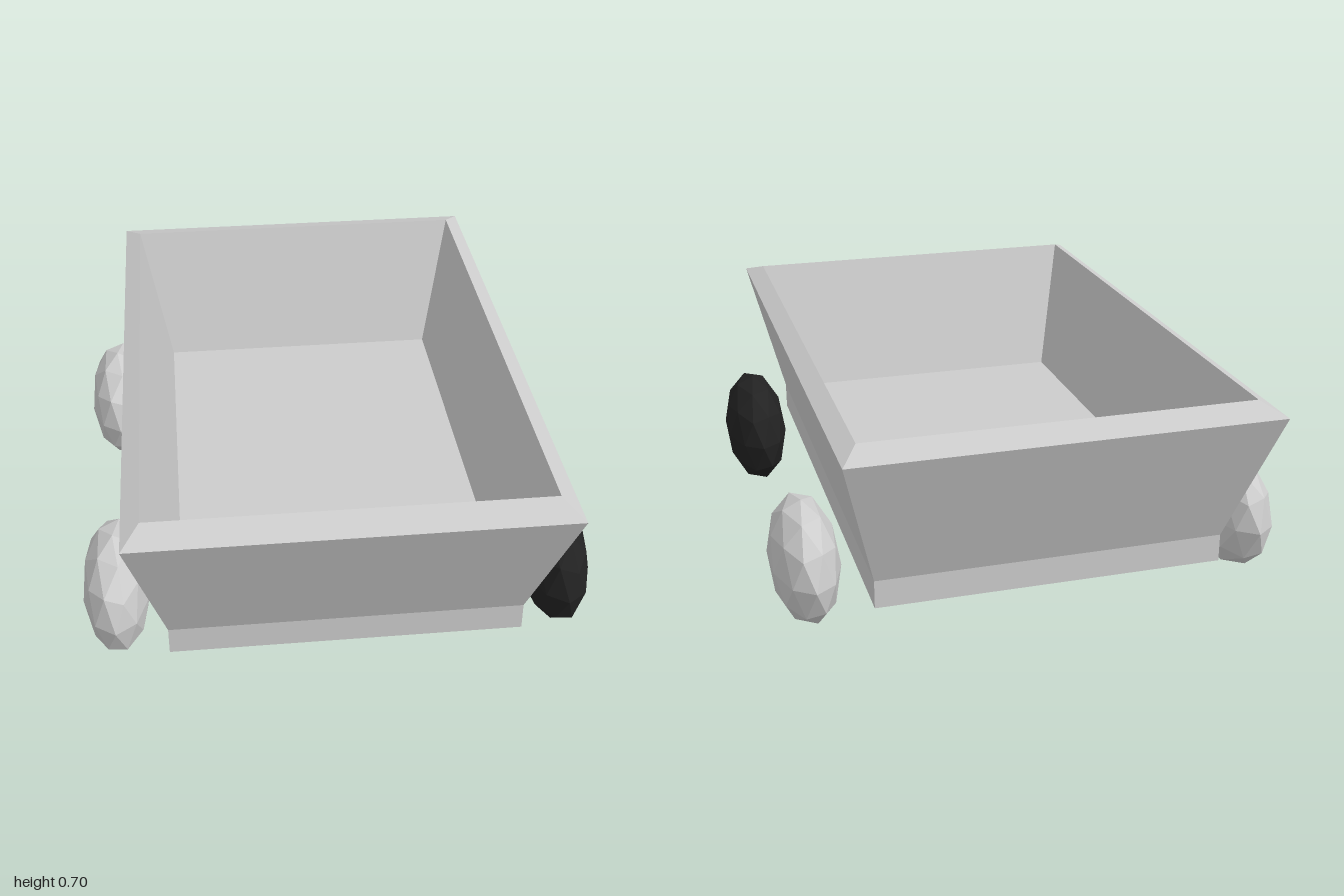
import * as THREE from 'three';

const grey = new THREE.MeshStandardMaterial({ color: 0xcccccc });
grey.name = 'light grey';
const black = new THREE.MeshStandardMaterial({ color: 0x222222 });
black.name = 'black';

// Rectangular rings [half width, height, half depth] joined into flat faces, closed at both ends
function ringShell(rings) {
  const pos = [];
  const corners = ([w, y, d]) => [[w, y, d], [w, y, -d], [-w, y, -d], [-w, y, d]];
  const quad = (a, b, c, d) => pos.push(...a, ...b, ...c, ...a, ...c, ...d);
  for (let i = 0; i < rings.length - 1; i++) {
    const lo = corners(rings[i]);
    const hi = corners(rings[i + 1]);
    for (let k = 0; k < 4; k++) {
      const n = (k + 1) % 4;
      quad(lo[k], lo[n], hi[n], hi[k]);
    }
  }
  const first = corners(rings[0]);
  quad(...first.reverse());
  quad(...corners(rings[rings.length - 1]));
  const geo = new THREE.BufferGeometry();
  geo.setAttribute('position', new THREE.Float32BufferAttribute(pos, 3));
  geo.computeVertexNormals();
  return geo;
}

// Faceted, squashed ball with a vertex at its top
function wheelGeometry() {
  const geo = new THREE.IcosahedronGeometry(1, 1);
  geo.rotateZ(-Math.atan(2 / (1 + Math.sqrt(5))));
  geo.scale(0.107, 0.193, 0.242);
  geo.computeVertexNormals();
  return geo;
}

export function createModel() {
  const model = new THREE.Group();
  model.name = 'cart';

  // Open tray: base, flared sides, bevelled rim, inner walls and floor
  const tray = new THREE.Mesh(ringShell([
    [0.54, 0.147, 0.833],
    [0.54, 0.235, 0.833],
    [0.648, 0.67, 1],
    [0.593, 0.7, 0.907],
    [0.493, 0.254, 0.758],
  ]), grey);
  tray.name = 'tray';
  model.add(tray);

  // Four wheels; only the front left one is black
  const geo = wheelGeometry();
  for (const x of [-1, 1]) {
    for (const z of [-1, 1]) {
      const wheel = new THREE.Mesh(geo, x > 0 && z > 0 ? black : grey);
      wheel.name = (z > 0 ? 'front' : 'back') + (x > 0 ? 'Left' : 'Right') + 'Wheel';
      wheel.position.set(0.699 * x, 0.193, 0.552 * z);
      model.add(wheel);
    }
  }
  return model;
}
